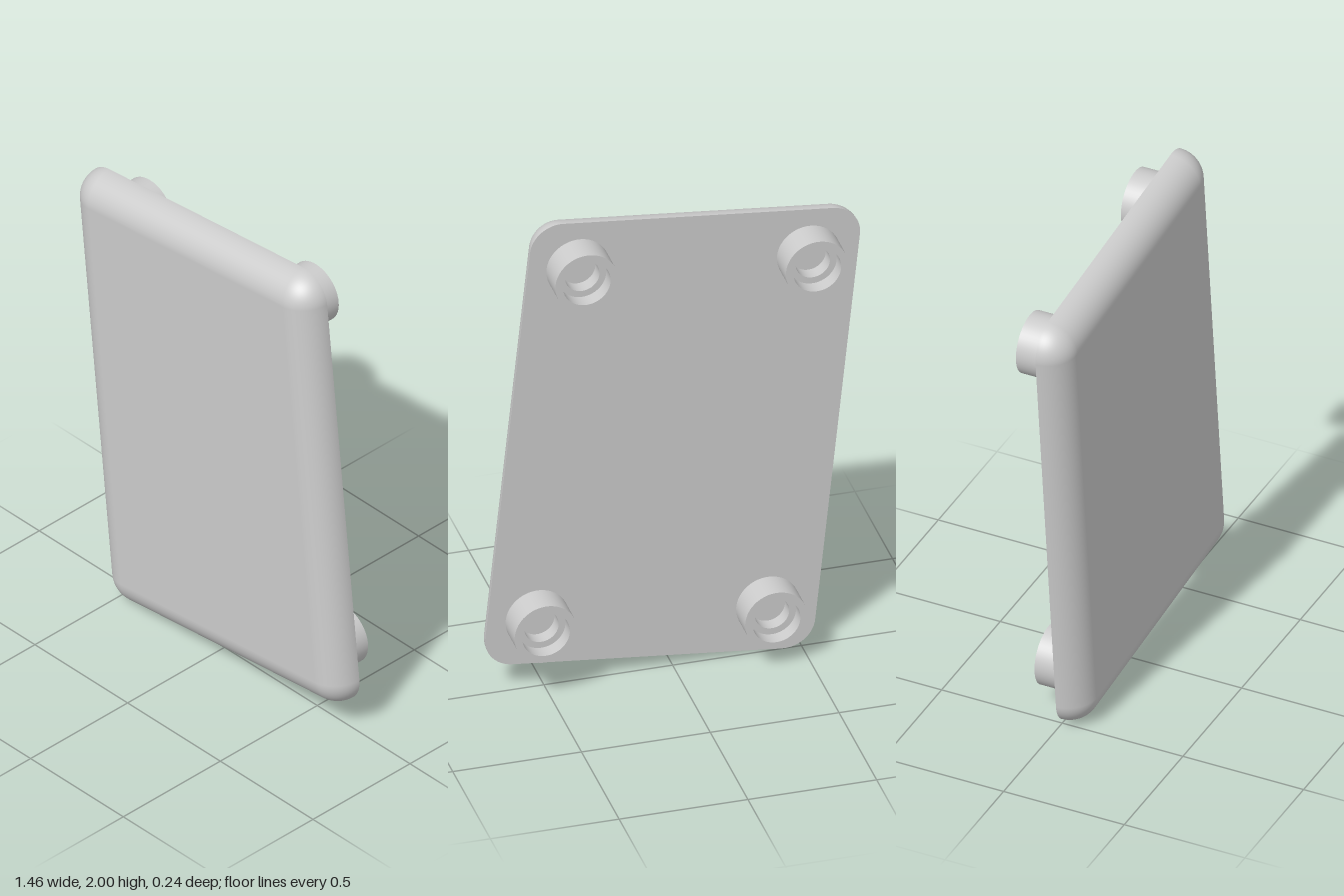
import * as THREE from 'three';

const A = 0.526, B = 0.832; // half size of the flat front
const R = 0.118;            // edge rounding and plate thickness
const TILT = THREE.MathUtils.degToRad(6);
const CORNERS = [[1, 1], [-1, 1], [-1, -1], [1, -1]];
const material = new THREE.MeshStandardMaterial({ color: 0xcccccc });

// Quarter-round rim: loops around the plate, shrinking towards the front
function rimGeometry(rows = 16, steps = 16) {
  const pos = [], nor = [], idx = [];
  const n = 4 * (steps + 1);
  for (let j = 0; j <= rows; j++) {
    const p = (j / rows) * Math.PI / 2;
    CORNERS.forEach(([sx, sy], c) => {
      for (let i = 0; i <= steps; i++) {
        const t = (c + i / steps) * Math.PI / 2;
        const d = [Math.cos(p) * Math.cos(t), Math.cos(p) * Math.sin(t), Math.sin(p)];
        pos.push(sx * A + R * d[0], sy * B + R * d[1], R * d[2]);
        nor.push(...d);
      }
    });
  }
  for (let j = 0; j < rows; j++) {
    for (let i = 0; i < n; i++) {
      const a = j * n + i, b = j * n + (i + 1) % n;
      idx.push(a, b, b + n, a, b + n, a + n);
    }
  }
  const g = new THREE.BufferGeometry();
  g.setAttribute('position', new THREE.Float32BufferAttribute(pos, 3));
  g.setAttribute('normal', new THREE.Float32BufferAttribute(nor, 3));
  g.setIndex(idx);
  return g;
}

// Rounded rectangle outline of the flat back
function backShape() {
  const s = new THREE.Shape();
  CORNERS.forEach(([sx, sy], c) =>
    s.absarc(sx * A, sy * B, R, c * Math.PI / 2, (c + 1) * Math.PI / 2, false));
  s.closePath();
  return s;
}

// Foot: hollow cylinder with a stepped hole; doubled points keep edges sharp
function footGeometry() {
  const h = 0.12, step = 0.06, rim = 0.122, bore = 0.093, hole = 0.067;
  const outline = [[rim, 0], [rim, h], [bore, h], [bore, step], [hole, step], [hole, 0.003], [0, 0.003]];
  const points = [];
  outline.forEach(([r, y], i) => {
    points.push(new THREE.Vector2(r, y));
    if (i > 0 && i < outline.length - 1) points.push(new THREE.Vector2(r, y));
  });
  const parts = new THREE.LatheGeometry(points, 48).toNonIndexed();
  // Normals from each straight segment of the outline
  const pos = parts.attributes.position, nor = parts.attributes.normal;
  const v = [0, 1, 2].map(() => new THREE.Vector3());
  const face = new THREE.Vector3(), radial = new THREE.Vector3();
  for (let i = 0; i < pos.count; i += 3) {
    v.forEach((p, k) => p.fromBufferAttribute(pos, i + k));
    face.crossVectors(v[1].clone().sub(v[0]), v[2].clone().sub(v[0])).normalize();
    v.forEach((p, k) => {
      if (Math.abs(face.y) > 0.5) radial.copy(face);
      else {
        radial.set(p.x, 0, p.z).normalize();
        if (radial.dot(face) < 0) radial.negate();
      }
      nor.setXYZ(i + k, radial.x, radial.y, radial.z);
    });
  }
  return parts.rotateX(-Math.PI / 2); // the open end points backwards
}

export function createModel() {
  const model = new THREE.Group();
  model.name = 'footedPanel';
  const add = (name, geometry) => {
    const mesh = new THREE.Mesh(geometry, material);
    mesh.name = name;
    model.add(mesh);
    return mesh;
  };

  // Plate
  add('roundedRim', rimGeometry());
  add('frontFace', new THREE.PlaneGeometry(2 * A, 2 * B)).position.z = R;
  add('backFace', new THREE.ShapeGeometry(backShape(), 16)).rotation.y = Math.PI;

  // Four feet near the corners
  const foot = footGeometry();
  for (const [sx, sy] of CORNERS) {
    const name = (sy > 0 ? 'upper' : 'lower') + (sx > 0 ? 'Left' : 'Right') + 'Foot';
    add(name, foot).position.set(sx * 0.45, sy * 0.757, 0);
  }

  // The whole panel leans sideways
  model.rotation.z = TILT;
  model.position.y = 1;
  const root = new THREE.Group();
  root.name = 'panel';
  root.add(model);
  return root;
}
